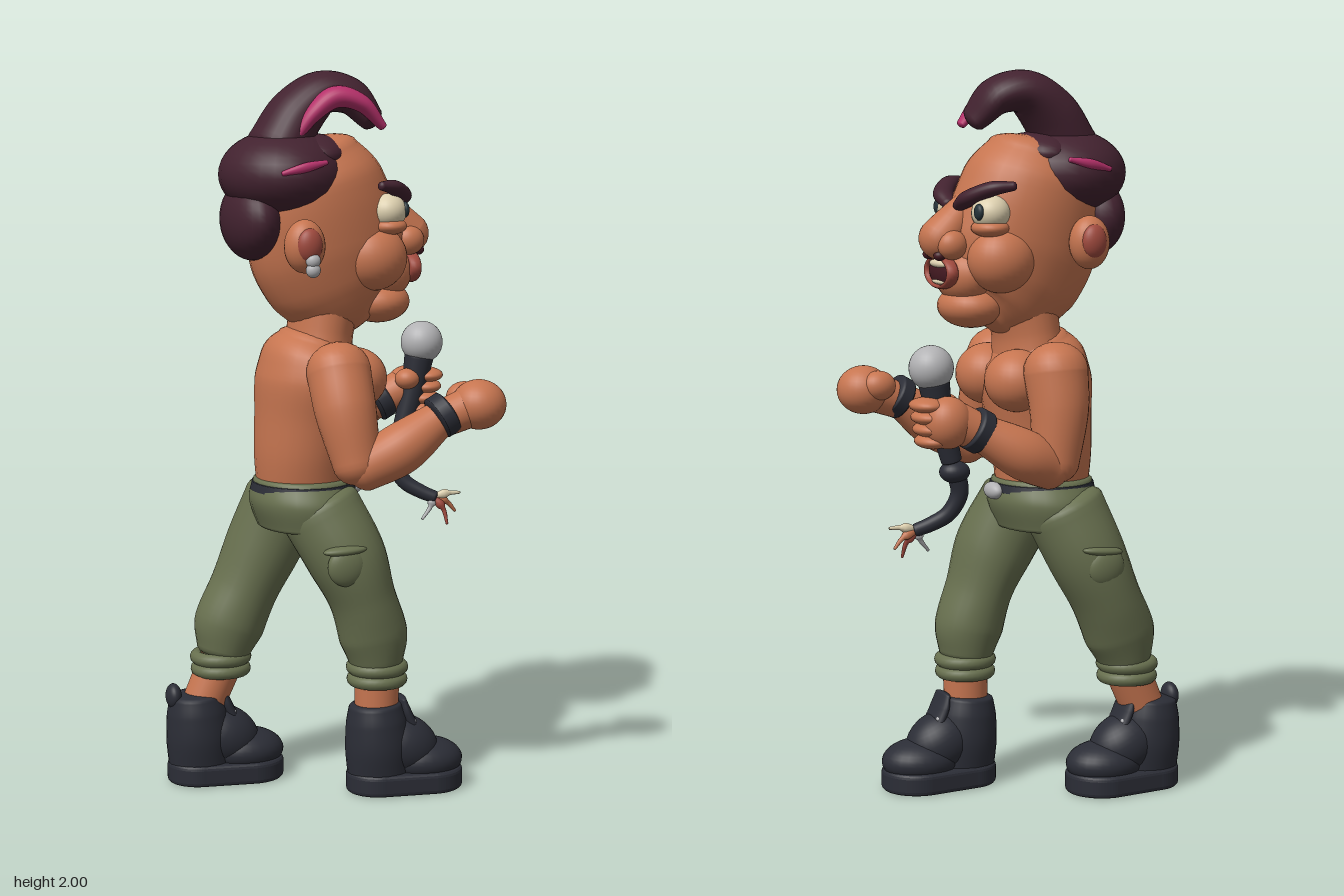
import * as THREE from 'three';

const mat = (name, color) => Object.assign(new THREE.MeshStandardMaterial({ color }), { name });
const skin = mat('skin', 0xc67550), hair = mat('hair', 0x42222f), pink = mat('pink streak', 0xb5316a);
const olive = mat('olive cloth', 0x68704f), dark = mat('dark leather', 0x2b2d36), silver = mat('silver', 0xb2b2b4);
const cream = mat('cream', 0xdccfae), red = mat('lip red', 0xa04a3e), maroon = mat('mouth interior', 0x451a22);
const iris = mat('iris', 0x26343a);

const MID = -0.035; // z of the body's plane of symmetry

function add(parent, name, geometry, material) {
  const mesh = new THREE.Mesh(geometry, material);
  mesh.name = name;
  parent.add(mesh);
  return mesh;
}

function blob(parent, name, material, [x, y, z], [rx, ry, rz], rotZ = 0) {
  const g = new THREE.SphereGeometry(1, 28, 20).scale(rx, ry, rz).rotateZ(rotZ).translate(x, y, z);
  return add(parent, name, g, material);
}

// Elliptical sections swept through points [x, y, z, a, b]; b lies along ref, a across it.
// cap is the depth of the rounded ends as a share of the end radius.
function sweep(parent, name, material, pts, cap = 0.6, ref = [0, 0, 1], steps = 28, sides = 28) {
  const path = new THREE.CatmullRomCurve3(pts.map(p => new THREE.Vector3(p[0], p[1], p[2])));
  const sizes = new THREE.CatmullRomCurve3(pts.map(p => new THREE.Vector3(p[3], p[4] ?? p[3], 0)));
  const rings = [];
  for (let k = 0; k <= 6; k++) rings.push([0, -Math.cos(k * Math.PI / 12), Math.sin(k * Math.PI / 12)]);
  for (let k = 1; k < steps; k++) rings.push([k / steps, 0, 1]);
  for (let k = 0; k <= 6; k++) rings.push([1, Math.sin(k * Math.PI / 12), Math.cos(k * Math.PI / 12)]);
  const pos = [], idx = [];
  rings.forEach(([t, push, shrink], i) => {
    const tan = path.getTangent(t), size = sizes.getPoint(t);
    const c = path.getPoint(t).addScaledVector(tan, push * cap * size.x);
    const side = new THREE.Vector3(...ref);
    side.addScaledVector(tan, -side.dot(tan)).normalize();
    const up = new THREE.Vector3().crossVectors(tan, side);
    for (let j = 0; j < sides; j++) {
      const a = j / sides * Math.PI * 2, s = Math.max(shrink, 0.002);
      const p = c.clone().addScaledVector(side, Math.cos(a) * size.y * s).addScaledVector(up, Math.sin(a) * size.x * s);
      pos.push(p.x, p.y, p.z);
      if (i) {
        const q = (i - 1) * sides, n = (j + 1) % sides;
        idx.push(q + j, q + n, q + sides + j, q + n, q + sides + n, q + sides + j);
      }
    }
  });
  const g = new THREE.BufferGeometry();
  g.setAttribute('position', new THREE.Float32BufferAttribute(pos, 3));
  g.setIndex(idx);
  g.computeVertexNormals();
  return add(parent, name, g, material);
}

function group(parent, name) {
  const g = new THREE.Group();
  g.name = name;
  parent.add(g);
  return g;
}

function buildHead(root) {
  const head = group(root, 'head');
  sweep(head, 'skull', skin, [[.09, 1.335, MID, .09, .075], [.06, 1.37, MID, .15, .12], [.03, 1.43, MID, .2, .148],
    [0, 1.52, MID, .22, .168], [-.02, 1.61, MID, .212, .175], [-.04, 1.7, MID, .19, .172], [-.06, 1.77, MID, .145, .135]], .3);
  blob(head, 'muzzle', skin, [.165, 1.45, MID], [.075, .08, .1]);
  blob(head, 'chin', skin, [.145, 1.365, MID], [.09, .06, .1]);
  // nose
  sweep(head, 'nose', skin, [[.16, 1.64, MID, .035, .04], [.2, 1.59, MID, .05, .055], [.235, 1.55, MID, .058, .062]], 1);
  // mouth
  const lips = new THREE.TorusGeometry(1, .17, 14, 36).rotateY(Math.PI / 2).scale(.1, .04, .074).translate(.233, 1.46, MID);
  add(head, 'lips', lips, red);
  blob(head, 'mouth', maroon, [.23, 1.46, MID], [.02, .04, .072]);
  blob(head, 'upperTeeth', cream, [.238, 1.482, MID], [.016, .012, .055]);
  blob(head, 'lowerTeeth', cream, [.234, 1.434, MID], [.016, .009, .045]);
  for (const s of [1, -1]) {
    const z = d => MID + s * d;
    blob(head, 'cheek', skin, [.1, 1.495, z(.1)], [.095, .09, .085]);
    blob(head, 'nostrilWing', skin, [.222, 1.535, z(.05)], [.042, .04, .035]);
    blob(head, 'nostril', maroon, [.252, 1.506, z(.035)], [.018, .014, .016]);
    blob(head, 'eyeball', cream, [.138, 1.622, z(.112)], [.052, .048, .054]);
    blob(head, 'iris', iris, [.181, 1.626, z(.13)], [.012, .022, .02]);
    blob(head, 'lowerLid', skin, [.14, 1.582, z(.112)], [.05, .025, .058]);
    sweep(head, 'eyebrow', hair, [[.193, 1.64, z(.035), .02, .016], [.187, 1.662, z(.085), .028, .022],
      [.145, 1.688, z(.14), .026, .02], [.1, 1.695, z(.175), .012, .012]], .7, [0, 1, 0]);
    blob(head, 'ear', skin, [-.12, 1.54, z(.185)], [.056, .072, .05]);
    blob(head, 'innerEar', red, [-.117, 1.545, z(.218)], [.036, .046, .026]);
    sweep(head, 'sideStreak', pink, [[-.18, 1.735, z(.188), .007, .008], [-.12, 1.75, z(.196), .013, .01],
      [-.06, 1.762, z(.188), .007, .008]]);
  }
  for (const y of [1.505, 1.48]) blob(head, 'earring', silver, [-.11, y, MID + .23], [.02, .02, .018]);

  // hair
  blob(head, 'hairCap', hair, [-.125, 1.72, MID], [.175, .122, .2]);
  blob(head, 'hairFront', hair, [-.045, 1.775, MID], [.09, .055, .15]);
  blob(head, 'hairNape', hair, [-.215, 1.6, MID], [.08, .112, .15]);
  sweep(head, 'crest', hair, [[-.14, 1.79, MID, .085, .11], [-.085, 1.88, -.045, .075, .1], [-.01, 1.938, -.045, .06, .09],
    [.065, 1.928, -.03, .05, .08], [.115, 1.87, 0, .034, .06]], .7);
  sweep(head, 'crestStreak', pink, [[-.12, 1.81, .035, .014, .025], [-.065, 1.885, .042, .024, .034],
    [0, 1.93, .047, .03, .038], [.07, 1.912, .055, .024, .036], [.128, 1.85, .06, .012, .02]]);
}

function buildTorso(root) {
  const torso = group(root, 'torso');
  sweep(torso, 'trunk', skin, [[-.07, .86, MID, .128, .13], [-.07, .95, MID, .135, .148], [-.06, 1.05, MID, .143, .162],
    [-.05, 1.15, MID, .15, .18], [-.045, 1.22, MID, .135, .165], [-.035, 1.265, MID, .1, .12]], .3);
  sweep(torso, 'neck', skin, [[-.03, 1.2, MID, .1, .13], [-.02, 1.29, MID, .09, .115], [0, 1.4, MID, .1, .11]]);
  for (const s of [1, -1]) blob(torso, 'chestMuscle', skin, [.05, 1.165, MID + s * .092], [.09, .085, .092]);
  // belt
  sweep(torso, 'belt', dark, [[-.07, .85, MID, .146, .157], [-.07, .872, MID, .141, .152]], .05);
  blob(torso, 'buckle', silver, [.078, .852, MID], [.022, .024, .042]);
}

function buildArm(root, name, upper, fore, band) {
  const arm = group(root, name);
  sweep(arm, 'upperArm', skin, upper, .9);
  sweep(arm, 'forearm', skin, fore, .8);
  const [x, y, z] = band;
  sweep(arm, 'wristband', dark, [[x - .014, y - .008, z, .06, .064], [x + .014, y + .008, z, .06, .064]], .2);
  return arm;
}

function buildMicrophone(root) {
  const mic = group(root, 'microphone');
  blob(mic, 'micHead', silver, [.333, 1.222, -.19], [.06, .06, .06]);
  sweep(mic, 'micHandle', dark, [[.325, 1.18, -.19, .042], [.31, 1.1, -.19, .035], [.275, .97, -.19, .028]], .2);
  blob(mic, 'micKnob', dark, [.266, .94, -.19], [.042, .03, .038]);
  sweep(mic, 'cable', dark, [[.262, .94, -.19, .026], [.25, .88, -.185, .024], [.275, .825, -.17, .022],
    [.32, .795, -.15, .02], [.355, .78, -.135, .018]], .4);
  // frayed wires
  const wires = [[.43, .79, -.13, cream], [.385, .705, -.11, red], [.315, .72, -.125, silver], [.42, .735, -.14, skin]];
  for (const [x, y, z, m] of wires) {
    sweep(mic, 'wire', m, [[.35, .782, -.137, .007], [(x + .37) / 2, (y + .79) / 2, (z - .137) / 2, .007], [x, y, z, .004]], .5, [0, 0, 1], 10, 8);
  }
}

function buildLeg(root, name, pts, cuff, heelX, hasTab) {
  const leg = group(root, name);
  sweep(leg, 'trouserLeg', olive, pts, .4);
  const [cx, cy, cz] = cuff;
  for (const [dy, r] of [[.014, .068], [-.02, .066]]) {
    add(leg, 'cuff', new THREE.TorusGeometry(r, .019, 12, 32).rotateX(Math.PI / 2).translate(cx, cy + dy, cz), olive);
  }
  sweep(leg, 'ankle', skin, [[heelX + .085, .18, cz, .06], [cx, .34, cz, .063]]);
  // shoe
  const shoe = group(leg, 'shoe');
  shoe.position.set(heelX, 0, cz);
  const outline = new THREE.Shape();
  outline.absarc(.235, 0, .09, -Math.PI / 2, Math.PI / 2);
  outline.absarc(.09, 0, .078, Math.PI / 2, Math.PI * 1.5);
  const sole = new THREE.ExtrudeGeometry(outline, { depth: .036, bevelSize: .011, bevelThickness: .012, bevelSegments: 3, curveSegments: 20 });
  add(shoe, 'sole', sole.rotateX(-Math.PI / 2).translate(0, .012, 0), dark);
  sweep(shoe, 'shoeAnkle', dark, [[.095, .05, 0, .09, .08], [.09, .13, 0, .092, .09], [.085, .2, 0, .085, .086], [.082, .245, 0, .074, .075]], .2);
  blob(shoe, 'instep', dark, [.165, .125, 0], [.105, .085, .085], -.5);
  blob(shoe, 'toeCap', dark, [.225, .08, 0], [.112, .062, .092]);
  sweep(shoe, 'tongue', dark, [[.19, .17, 0, .02, .05], [.165, .225, 0, .018, .05], [.155, .262, 0, .012, .042]]);
  for (const s of [1, -1]) for (const [x, y] of [[.21, .165], [.183, .198]]) {
    blob(shoe, 'eyelet', silver, [x, y, s * .034], [.009, .009, .009]);
  }
  if (hasTab) blob(shoe, 'heelTab', dark, [.018, .25, 0], [.022, .036, .035]);
  return leg;
}

export function createModel() {
  const root = new THREE.Group();
  root.name = 'singer';
  buildHead(root);
  buildTorso(root);

  // arm with a raised fist
  const fistArm = buildArm(root, 'fistArm',
    [[-.025, 1.2, .15, .088], [-.02, 1.1, .195, .084], [0, .96, .232, .066]],
    [[.02, .945, .235, .062], [.11, .995, .258, .07], [.225, 1.075, .262, .05]], [.232, 1.085, .265]);
  blob(fistArm, 'fist', skin, [.335, 1.11, .268], [.075, .068, .074]);
  blob(fistArm, 'thumb', skin, [.31, 1.125, .22], [.05, .042, .042]);
  sweep(fistArm, 'wrist', skin, [[.22, 1.07, .262, .05], [.3, 1.1, .266, .055]]);

  // arm holding the microphone
  const micArm = buildArm(root, 'micArm',
    [[-.01, 1.2, -.24, .088], [-.01, 1.1, -.26, .08], [.005, .96, -.27, .064]],
    [[.02, .945, -.27, .06], [.1, .985, -.275, .068], [.215, 1.05, -.25, .05]], [.222, 1.055, -.24]);
  sweep(micArm, 'wrist', skin, [[.21, 1.045, -.245, .05], [.28, 1.08, -.23, .055]]);
  blob(micArm, 'palm', skin, [.305, 1.08, -.235], [.065, .07, .06]);
  for (let i = 0; i < 4; i++) blob(micArm, 'finger', skin, [.338 + i * .005, 1.03 + i * .032, -.205], [.046, .021, .058]);
  blob(micArm, 'thumb', skin, [.285, 1.12, -.175], [.036, .03, .035]);
  buildMicrophone(root);

  // trousers
  const trousers = group(root, 'trousers');
  sweep(trousers, 'hips', olive, [[-.07, .88, MID, .137, .146], [-.07, .82, MID, .148, .175], [-.07, .75, MID, .125, .165]], .1);
  buildLeg(trousers, 'forwardLeg', [[-.045, .8, .05, .115, .1], [.02, .67, .082, .11, .115], [.065, .55, .09, .092, .105],
    [.095, .45, .09, .096, .096], [.105, .375, .09, .076, .08]], [.107, .342, .09], .02, false);
  buildLeg(trousers, 'rearLeg', [[-.095, .8, -.13, .115, .1], [-.15, .67, -.155, .108, .112], [-.205, .55, -.162, .096, .106],
    [-.25, .45, -.157, .1, .097], [-.27, .375, -.155, .076, .08]], [-.277, .342, -.155], -.433, true);
  // side pockets
  blob(trousers, 'pocket', olive, [-.01, .665, .18], [.055, .055, .025], -.3);
  blob(trousers, 'pocketFlap', olive, [-.015, .71, .178], [.062, .014, .026], .05);
  blob(trousers, 'pocket', olive, [-.16, .655, -.25], [.055, .055, .025], .3);
  blob(trousers, 'pocketFlap', olive, [-.15, .7, -.247], [.062, .014, .026], .1);
  return root;
}
